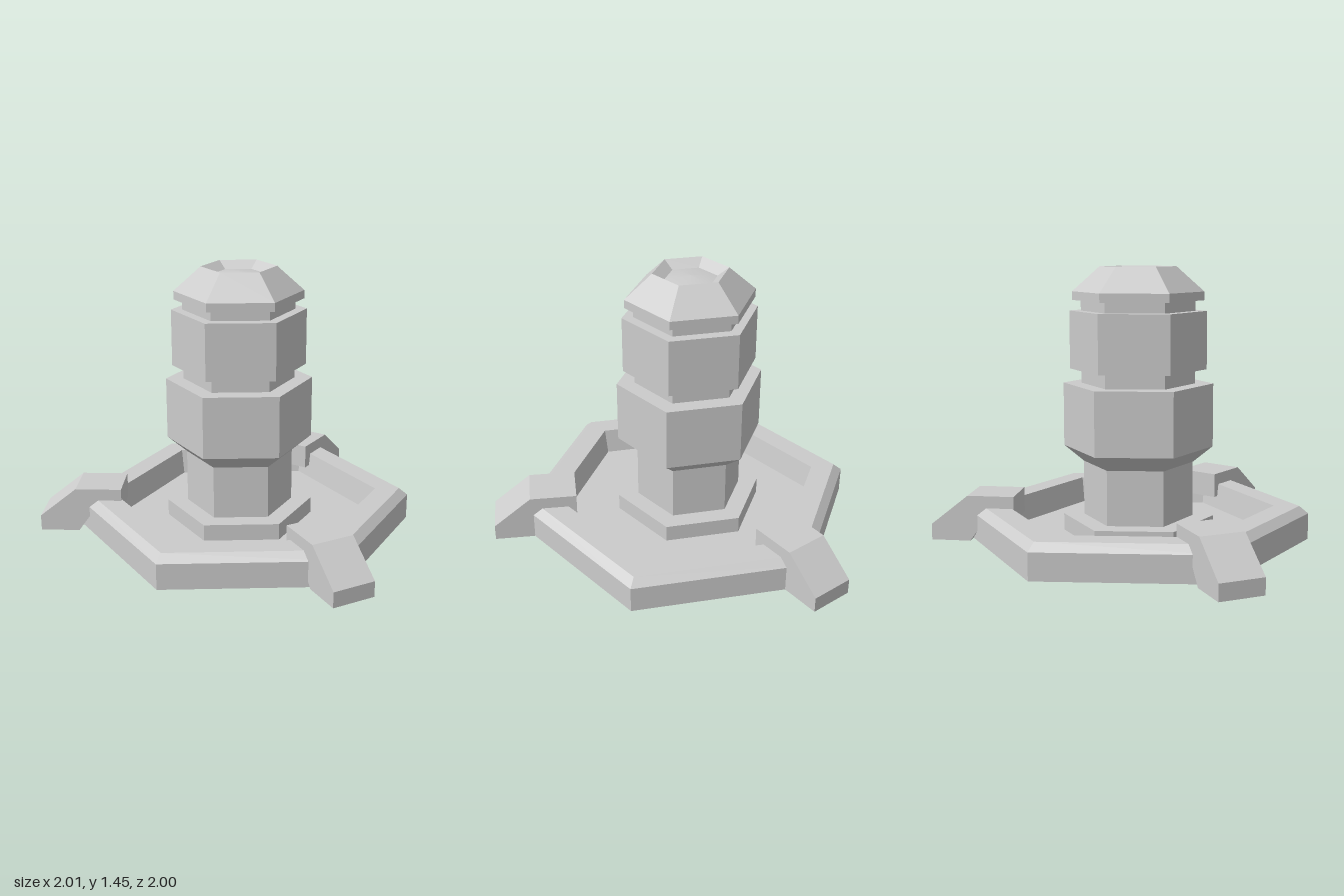
import * as THREE from 'three';

const flat = new THREE.MeshStandardMaterial({ color: 0xcccccc, flatShading: true, side: THREE.DoubleSide });
const smooth = new THREE.MeshStandardMaterial({ color: 0xcccccc, side: THREE.DoubleSide });

// Six-sided turned part; profile is a list of [corner radius, height]
function hexPart(name, profile, material = flat) {
  const points = profile.map(([r, y]) => new THREE.Vector2(r, y));
  const mesh = new THREE.Mesh(new THREE.LatheGeometry(points, 6), material);
  mesh.name = name;
  return mesh;
}

export function createModel() {
  const model = new THREE.Group();
  model.name = 'hexagonalTower';

  // Open-bottomed tray with a raised, chamfered rim
  const basin = hexPart('basin', [
    [0.918, 0], [0.918, 0.14], [0.87, 0.18], [0.735, 0.18], [0.71, 0.04], [0, 0.04],
  ]);
  basin.position.set(0.015, 0, -0.082);
  model.add(basin);

  // Everything else shares the tower axis
  const tower = new THREE.Group();
  tower.name = 'tower';
  tower.position.set(-0.007, 0, -0.1);
  model.add(tower);

  tower.add(
    hexPart('plinth', [[0, 0.025], [0.4, 0.025], [0.4, 0.13], [0, 0.13]]),
    hexPart('column', [[0.29, 0.13], [0.29, 0.42]]),
    hexPart('lowerDrum', [[0.29, 0.42], [0.395, 0.505], [0.395, 0.84], [0.3, 0.84]]),
    hexPart('lowerNeck', [[0.3, 0.84], [0.3, 0.915]]),
    hexPart('upperDrum', [[0.3, 0.915], [0.36, 0.915], [0.36, 1.22], [0.3, 1.22]]),
    hexPart('upperNeck', [[0.3, 1.22], [0.3, 1.275]]),
    hexPart('cap', [[0.3, 1.275], [0.345, 1.275], [0.345, 1.32], [0.2, 1.45], [0.14, 1.41]]),
    hexPart('capDome', [[0.14, 1.41], [0.08, 1.42], [0, 1.425]], smooth),
  );

  // Bent leg: side outline as [distance from axis, height]
  const width = 0.236;
  const outline = [
    [0.64, 0.11], [0.8, 0.11], [0.88, 0], [1.09, 0], [1.09, 0.085], [0.89, 0.245], [0.64, 0.245],
  ];
  const shape = new THREE.Shape(outline.map(([d, y]) => new THREE.Vector2(d, y)));
  const legGeometry = new THREE.ExtrudeGeometry(shape, { depth: width, bevelEnabled: false });
  legGeometry.rotateY(-Math.PI / 2);
  legGeometry.translate(width / 2 + 0.055, 0, 0);

  // Three legs evenly spaced around the tower
  ['frontLeg', 'backLeftLeg', 'backRightLeg'].forEach((name, i) => {
    const leg = new THREE.Mesh(legGeometry, flat);
    leg.name = name;
    leg.rotation.y = -0.075 + (i * Math.PI * 2) / 3;
    tower.add(leg);
  });

  return model;
}
